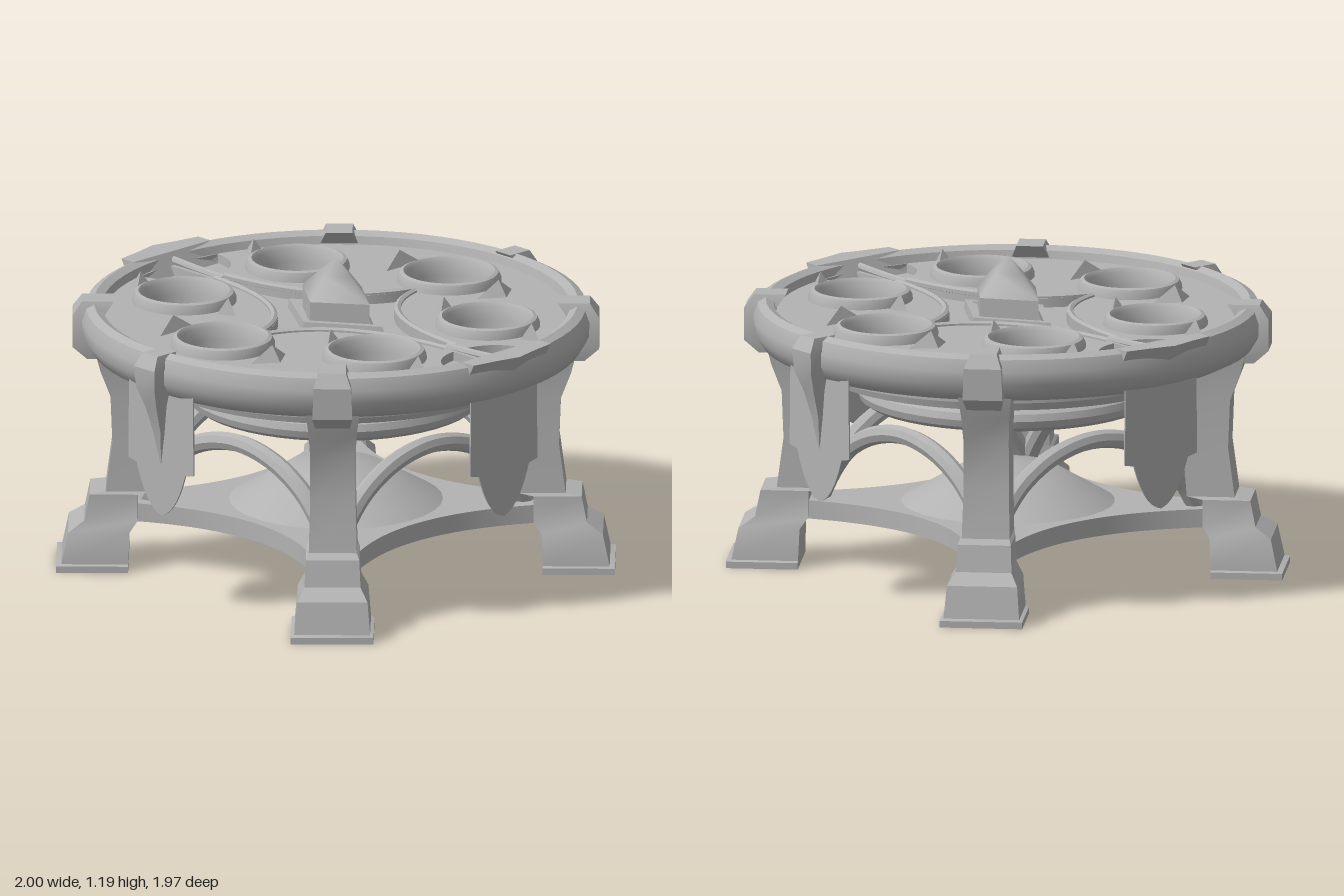
import * as THREE from 'three';
import { toCreasedNormals } from 'three/addons/utils/BufferGeometryUtils.js';

export function createModel() {
  const model = new THREE.Group();
  const stone = new THREE.MeshStandardMaterial({ color: 0xb2b2b2 });
  stone.name = 'stone';

  const add = (name, geo, parent = model) => {
    const mesh = new THREE.Mesh(toCreasedNormals(geo, 0.6), stone);
    mesh.name = name;
    parent.add(mesh);
    return mesh;
  };
  const group = (name, angle) => {
    const g = new THREE.Group();
    g.name = name;
    g.rotation.y = angle;
    model.add(g);
    return g;
  };
  const lathe = (pts, seg) =>
    new THREE.LatheGeometry(pts.map(([r, y]) => new THREE.Vector2(r, y)), seg);
  // extrude a plan shape upward from height y
  const slab = (shape, y, h) =>
    new THREE.ExtrudeGeometry(shape, { depth: h, bevelEnabled: false, curveSegments: 24 })
      .rotateX(-Math.PI / 2).translate(0, y, 0);
  // rectangular cross-sections: [height, distance from centre, half width, half depth]
  const loft = (sections) => {
    const pos = [];
    const rings = sections.map(([y, r, w, d]) =>
      [[w, y, r + d], [w, y, r - d], [-w, y, r - d], [-w, y, r + d]]);
    for (let i = 0; i < rings.length - 1; i++) {
      for (let j = 0; j < 4; j++) {
        const k = (j + 1) % 4;
        const [a, b, c, d] = [rings[i][j], rings[i][k], rings[i + 1][k], rings[i + 1][j]];
        pos.push(...a, ...b, ...c, ...a, ...c, ...d);
      }
    }
    const g = new THREE.BufferGeometry();
    g.setAttribute('position', new THREE.Float32BufferAttribute(pos, 3));
    g.computeVertexNormals();
    return g;
  };
  const tube = (pts, r, seg = 24) => new THREE.TubeGeometry(
    new THREE.CatmullRomCurve3(pts.map((p) => new THREE.Vector3(...p))), seg, r, 8);

  // table body with stepped underside and rounded rim
  add('tableRim', lathe([
    [0, 0.77], [0.71, 0.77], [0.72, 0.8], [0.77, 0.81], [0.77, 0.845], [0.87, 0.845],
    [0.92, 0.87], [0.95, 0.92], [0.952, 0.97], [0.935, 1.015], [0.905, 1.03],
    [0.875, 1.015], [0.86, 0.96]], 72));

  // table top: low floor below raised panels, both pierced by the bowls
  const bowls = [[0.59, 0], [-0.59, 0]];
  for (const sx of [1, -1]) for (const sz of [1, -1]) bowls.push([0.295 * sx, 0.51 * sz]);
  const pierced = () => {
    const s = new THREE.Shape().absarc(0, 0, 0.89, 0, Math.PI * 2);
    for (const [x, z] of bowls) s.holes.push(new THREE.Path().absarc(x, z, 0.17, 0, Math.PI * 2, true));
    return s;
  };
  add('recessFloor', slab(pierced(), 0.93, 0.02));
  const panels = pierced();
  const star = new THREE.Path().moveTo(0.4, 0);
  star.quadraticCurveTo(0.05, 0.08, 0.015, 0.62).lineTo(-0.015, 0.62)
    .quadraticCurveTo(-0.05, 0.08, -0.4, 0).quadraticCurveTo(-0.05, -0.08, -0.015, -0.62)
    .lineTo(0.015, -0.62).quadraticCurveTo(0.05, -0.08, 0.4, 0);
  panels.holes.push(star);
  for (const sx of [1, -1]) {
    for (const sz of [1, -1]) {
      const fan = new THREE.Path().moveTo(0.03 * sx, 0.66 * sz);
      fan.lineTo(0.03 * sx, 0.865 * sz).lineTo(0.2 * sx, 0.84 * sz)
        .quadraticCurveTo(0.18 * sx, 0.68 * sz, 0.03 * sx, 0.66 * sz);
      panels.holes.push(fan);
      // raised lip following the star recess
      const lip = new THREE.QuadraticBezierCurve3(
        new THREE.Vector3(0.41 * sx, 0.985, 0.01 * sz),
        new THREE.Vector3(0.06 * sx, 0.985, 0.09 * sz),
        new THREE.Vector3(0.025 * sx, 0.985, 0.62 * sz));
      add('recessLip', new THREE.TubeGeometry(lip, 24, 0.014, 6));
    }
  }
  add('raisedPanels', slab(panels, 0.94, 0.045));
  for (const sz of [1, -1]) {
    add('dividingRidge', tube([[0, 0.985, 0.6 * sz], [0, 0.99, 0.75 * sz], [0, 1.0, 0.9 * sz]], 0.016));
  }

  // bowls with rolled rims, each with two small thorns
  for (const [x, z] of bowls) {
    add('bowl', lathe([[0.198, 0.96], [0.195, 1.0], [0.185, 1.02], [0.172, 1.025], [0.16, 1.01],
      [0.152, 0.96], [0.14, 0.88], [0.11, 0.86], [0, 0.855]], 36)).position.set(x, 0, z);
    for (const side of [1, -1]) {
      const thorn = add('thorn', new THREE.ConeGeometry(0.05, 0.07, 3));
      thorn.position.set(x, 1.01, z + side * (z === 0 ? 0.265 : 0.235));
      thorn.rotation.y = side > 0 ? 0 : Math.PI;
      if (z === 0) thorn.scale.x = 2.4;
    }
  }

  // central diamond finial
  const finial = add('finial', lathe([[1.25, 0.94], [1.2, 0.96], [1, 0.97], [1, 1.055],
    [0.45, 1.14], [0, 1.2]], 4));
  finial.scale.set(0.135, 1, 0.18);
  const collar = add('finialCollar', lathe([[1.25, 0.94], [1.2, 0.985], [1, 0.985]], 4));
  collar.scale.set(0.14, 1, 0.21);

  // four legs on the diagonals, with hollow feet and rim clamps
  for (let i = 0; i < 4; i++) {
    const leg = group('leg', Math.PI / 4 + i * Math.PI / 2);
    add('legColumn', loft([
      [0.13, 0.9, 0, 0], [0.13, 0.9, 0.11, 0.09], [0.01, 0.91, 0.135, 0.115],
      [0.01, 0.91, 0.155, 0.135], [0.035, 0.91, 0.155, 0.135], [0.04, 0.9, 0.142, 0.125],
      [0.16, 0.885, 0.132, 0.115], [0.2, 0.84, 0.105, 0.1], [0.3, 0.83, 0.1, 0.09],
      [0.31, 0.77, 0.09, 0.09], [0.5, 0.75, 0.085, 0.085], [0.68, 0.755, 0.085, 0.087],
      [0.78, 0.78, 0.09, 0.1], [0.86, 0.79, 0.1, 0.11]]), leg);
    add('rimClamp', loft([[0.82, 0.87, 0, 0], [0.82, 0.87, 0.065, 0.06], [0.87, 0.92, 0.075, 0.065],
      [0.99, 0.925, 0.07, 0.06], [1.04, 0.89, 0.05, 0.06], [1.04, 0.89, 0, 0]]), leg);
  }

  // arches joining neighbouring legs
  const half = [[0.5, 0.25], [0.43, 0.36], [0.34, 0.46], [0.19, 0.545]];
  const archPts = [...half.map(([x, y]) => [-x, y, 0.5]), [0, 0.58, 0.5],
    ...half.map(([x, y]) => [x, y, 0.5]).reverse()];
  for (let i = 0; i < 4; i++) {
    add('arch', tube(archPts, 0.035, 36), group('archSide', i * Math.PI / 2));
  }
  add('upperRing', new THREE.TorusGeometry(0.52, 0.045, 10, 48).rotateX(Math.PI / 2)).position.y = 0.69;

  // lower shelf with arms reaching to the legs
  const shelf = new THREE.Shape().moveTo(0.6, 0.5);
  shelf.lineTo(0.5, 0.6).quadraticCurveTo(0, 0.28, -0.5, 0.6).lineTo(-0.6, 0.5)
    .quadraticCurveTo(-0.28, 0, -0.6, -0.5).lineTo(-0.5, -0.6).quadraticCurveTo(0, -0.28, 0.5, -0.6)
    .lineTo(0.6, -0.5).quadraticCurveTo(0.28, 0, 0.6, 0.5);
  add('shelf', slab(shelf, 0.19, 0.07));
  add('shelfMound', lathe([[0, 0.182], [0.42, 0.2], [0.44, 0.23], [0.4, 0.26], [0.28, 0.33],
    [0.18, 0.39], [0, 0.41]], 32));

  // hanging banners: thin pointed plates on the four sides
  const cloth = new THREE.Shape().moveTo(0, 0.39);
  cloth.quadraticCurveTo(0.08, 0.41, 0.13, 0.57).lineTo(0.175, 0.58).lineTo(0.17, 0.95)
    .lineTo(-0.17, 0.95).lineTo(-0.175, 0.58).lineTo(-0.13, 0.57).quadraticCurveTo(-0.08, 0.41, 0, 0.39);
  const crest = new THREE.Shape().moveTo(-0.2, -0.88);
  crest.lineTo(-0.2, -0.945).lineTo(-0.1, -0.962).lineTo(0, -0.985)
    .lineTo(0.1, -0.962).lineTo(0.2, -0.945).lineTo(0.2, -0.88);
  for (let i = 0; i < 4; i++) {
    const g = group('banner', i * Math.PI / 2);
    const side = i % 2 === 1;
    add('bannerPlate', new THREE.ExtrudeGeometry(cloth, { depth: 0.006, bevelEnabled: false })
      .translate(0, 0, side ? 0.907 : 0.895), g);
    if (side) {
      add('bannerSpike', loft([[0.58, 0.912, 0, 0], [0.72, 0.92, 0.02, 0.015],
        [0.82, 0.935, 0.03, 0.03], [0.9, 0.95, 0.05, 0.045], [0.98, 0.955, 0.055, 0.045],
        [1.03, 0.92, 0.04, 0.05], [1.03, 0.92, 0, 0]]), g);
    } else {
      // crest leans outward toward its top
      const geo = slab(crest, 0.89, 0.14);
      const p = geo.attributes.position;
      for (let v = 0; v < p.count; v++) p.setZ(v, p.getZ(v) - (1.03 - p.getY(v)) * 0.55);
      geo.computeVertexNormals();
      add('bannerCrest', geo, g);
    }
  }
  return model;
}
